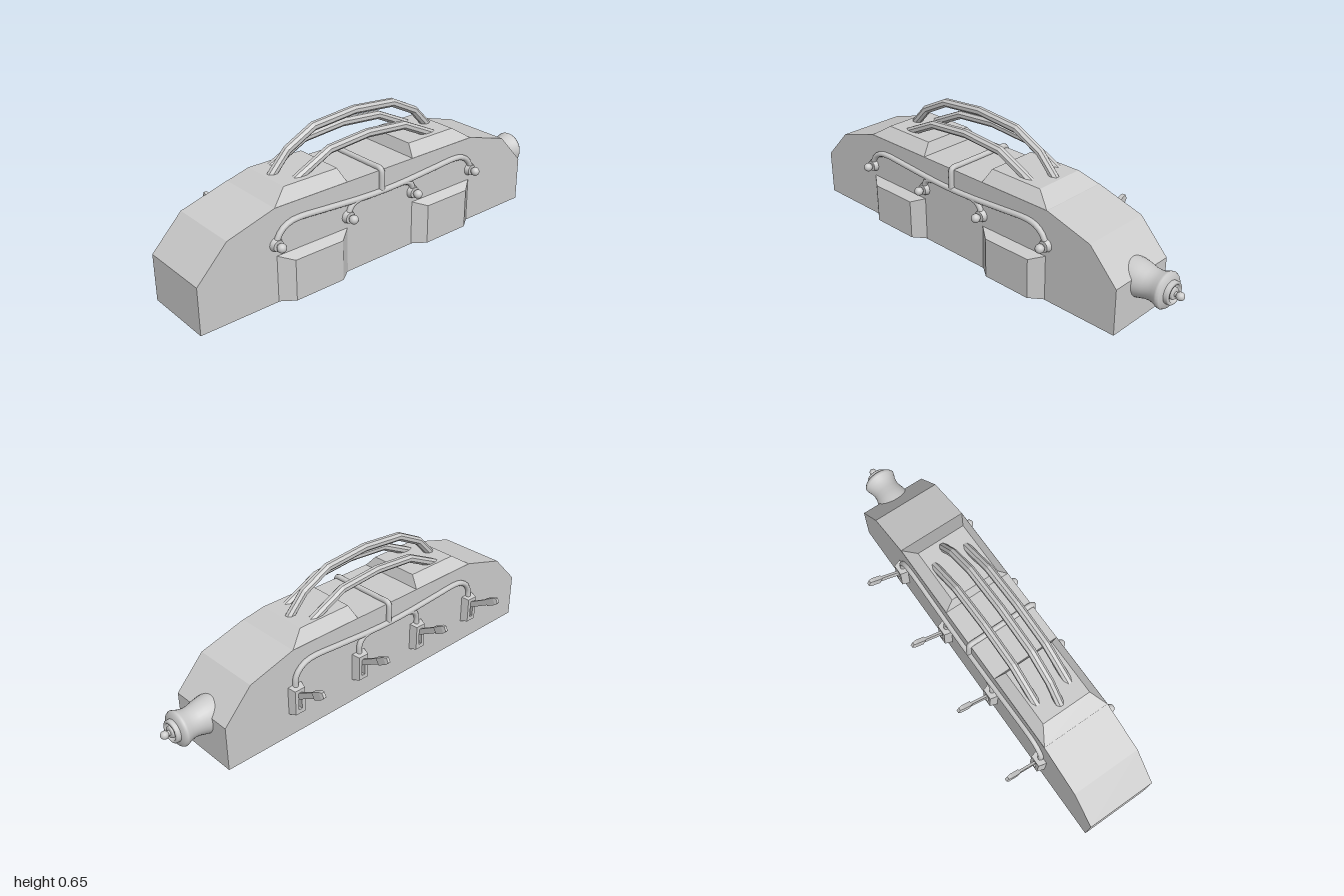
import * as THREE from 'three';

const MID = -0.096, FRONT = 0.23, BACK = -0.1;
const STATIONS = [-0.545, -0.182, 0.182, 0.545];

export function createModel() {
  const root = new THREE.Group();
  const mat = new THREE.MeshStandardMaterial({ color: 0xcccccc });
  const flat = new THREE.MeshStandardMaterial({ color: 0xcccccc, flatShading: true });
  const v = (x, y, z) => new THREE.Vector3(x, y, z);

  const add = (name, geo, m = mat, parent = root) => {
    const mesh = new THREE.Mesh(geo, m);
    mesh.name = name;
    parent.add(mesh);
    return mesh;
  };

  // Unit box whose corners are moved by a rule (sx, sy, sz are 0 or 1)
  const warpBox = (rule) => {
    const g = new THREE.BoxGeometry(1, 1, 1);
    const p = g.attributes.position;
    for (let i = 0; i < p.count; i++) {
      p.setXYZ(i, ...rule(p.getX(i) > 0 ? 1 : 0, p.getY(i) > 0 ? 1 : 0, p.getZ(i) > 0 ? 1 : 0));
    }
    g.computeVertexNormals();
    return g;
  };

  // Tube along straight segments
  const polyTube = (pts, r, sides) => {
    const path = new THREE.CurvePath();
    for (let i = 1; i < pts.length; i++) path.add(new THREE.LineCurve3(pts[i - 1], pts[i]));
    // Rings sit exactly on the corners, oriented along the averaged direction
    const pos = [], idx = [];
    pts.forEach((p, i) => {
      const a = pts[Math.max(i - 1, 0)], b = pts[Math.min(i + 1, pts.length - 1)];
      const t = b.clone().sub(a).normalize();
      const side = v(0, 0, 1), up = side.clone().cross(t);
      for (let j = 0; j < sides; j++) {
        const an = ((j + 0.5) / sides) * Math.PI * 2;
        const q = p.clone().addScaledVector(side, r * Math.cos(an)).addScaledVector(up, r * Math.sin(an));
        pos.push(q.x, q.y, q.z);
        if (i) {
          const k = i * sides + j, k2 = i * sides + ((j + 1) % sides);
          idx.push(k - sides, k, k2 - sides, k, k2, k2 - sides);
        }
      }
    });
    const g = new THREE.BufferGeometry();
    g.setAttribute('position', new THREE.Float32BufferAttribute(pos, 3));
    g.setIndex(idx);
    g.computeVertexNormals();
    return g;
  };

  const smoothTube = (name, pts, r = 0.013) =>
    add(name, new THREE.TubeGeometry(new THREE.CatmullRomCurve3(pts, false, 'centripetal'), 48, r, 10));

  // Main body: side profile extruded through the depth
  const profile = [[-1, 0], [0.805, 0], [0.805, 0.21], [0.67, 0.354], [0.45, 0.418],
    [-0.64, 0.418], [-0.86, 0.354], [-1, 0.21]];
  const body = new THREE.ExtrudeGeometry(new THREE.Shape(profile.map((p) => new THREE.Vector2(...p))),
    { depth: FRONT - BACK, bevelEnabled: false });
  body.translate(0, 0, BACK);
  add('body', body, flat);

  for (const s of [-1, 1]) {
    // Raised roof pads with sloping sides
    const outer = [0.545, 0.467], inner = [0.182, 0.2];
    add('roofPad', warpBox((x, y, z) => {
      const far = s > 0 ? x : 1 - x;
      return [MID + s * (far ? outer[y] : inner[y]), y ? 0.47 : 0.417,
        z ? [FRONT, 0.185][y] : [BACK, -0.055][y]];
    }), flat);

    // Front side bulges
    add('sideBulge', warpBox((x, y, z) => {
      const half = z ? 0.12 : 0.182;
      return [MID + s * 0.3635 + (x ? half : -half), y ? (z ? 0.187 : 0.21) : 0.002, z ? 0.273 : FRONT - 0.002];
    }), flat);
  }

  // Roof bars
  const bar = (z, pts) => add('roofBar', polyTube(
    [...pts.map(([x, y]) => v(MID - x, y, z)), ...pts.slice(0, -1).reverse().map(([x, y]) => v(MID + x, y, z))],
    0.02, 8), flat);
  bar(0.055, [[0.45, 0.44], [0.425, 0.47], [0.35, 0.55], [0.217, 0.617], [0, 0.636]]);
  for (const z of [0.142, -0.025]) bar(z, [[0.41, 0.44], [0.35, 0.47], [0.205, 0.54], [0, 0.557]]);

  // Side pipes on both faces, with branches to each fitting
  for (const [z, low] of [[FRONT + 0.006, 0.262], [BACK - 0.006, 0.235]]) {
    const half = [[0.545, low], [0.542, 0.285], [0.52, 0.318], [0.485, 0.339], [0.44, 0.346], [0.3, 0.338], [0.12, 0.326]];
    smoothTube('sidePipe', [...half.map(([x, y]) => v(MID - x, y, z)), v(MID, 0.323, z),
      ...half.slice().reverse().map(([x, y]) => v(MID + x, y, z))]);
    for (const s of [-1, 1]) {
      smoothTube('branchPipe', [[0.182, low], [0.179, 0.285], [0.16, 0.313], [0.125, 0.325], [0.09, 0.325]]
        .map(([x, y]) => v(MID + s * x, y, z)));
    }
  }

  // Pipe crossing over the roof
  smoothTube('crossPipe', [v(MID, 0.323, 0.236), v(MID, 0.4, 0.236), v(MID, 0.415, 0.234), v(MID, 0.424, 0.222),
    v(MID, 0.424, 0.18), v(MID, 0.424, -0.05), v(MID, 0.424, -0.092), v(MID, 0.415, -0.104),
    v(MID, 0.4, -0.106), v(MID, 0.323, -0.106)]);

  for (const dx of STATIONS) {
    // Front fittings: flange, neck and ball
    const fitting = new THREE.Group();
    fitting.name = 'frontFitting';
    fitting.position.set(MID + dx, 0.262, FRONT);
    root.add(fitting);
    add('flange', new THREE.CylinderGeometry(0.024, 0.03, 0.02, 20).rotateX(Math.PI / 2).translate(0, 0, 0.01), mat, fitting);
    add('neck', new THREE.CylinderGeometry(0.011, 0.011, 0.03, 12).rotateX(Math.PI / 2).translate(0, 0, 0.025), mat, fitting);
    add('ball', new THREE.SphereGeometry(0.02, 16, 12).translate(0, 0, 0.039), mat, fitting);

    // Back switches: slotted tapering box with a lever
    const sw = new THREE.Group();
    sw.name = 'leverSwitch';
    sw.position.set(MID + dx, 0.182, BACK);
    root.add(sw);
    const rect = (C, w, h) => new C([[-w, -h], [w, -h], [w, h], [-w, h]].map((p) => new THREE.Vector2(...p)));
    const frame = rect(THREE.Shape, 0.036, 0.067);
    frame.holes.push(rect(THREE.Path, 0.012, 0.045));
    const g = new THREE.ExtrudeGeometry(frame, { depth: 0.035, bevelEnabled: false }).rotateY(Math.PI);
    const p = g.attributes.position;
    for (let i = 0; i < p.count; i++) {
      if (p.getZ(i) < -0.01) p.setXY(i, p.getX(i) * 0.72, p.getY(i) * 0.89);
    }
    g.computeVertexNormals();
    add('switchBox', g, flat, sw);

    const lever = new THREE.Group();
    lever.name = 'lever';
    lever.position.set(0, 0.012, -0.005);
    lever.rotation.x = 0.5;
    sw.add(lever);
    add('leverStem', new THREE.BoxGeometry(0.011, 0.027, 0.145).translate(0, 0, -0.0725), flat, lever);
    add('leverHandle', warpBox((x, y, z) => {
      const k = z ? 1 : 0.7;
      return [(x - 0.5) * 0.02 * k, (y - 0.5) * 0.034 * k, z ? -0.19 : -0.206];
    }), flat, lever);
    add('leverGrip', new THREE.BoxGeometry(0.02, 0.034, 0.05).translate(0, 0, -0.165), flat, lever);
  }

  // End nozzle, turned around the x axis
  const nozzle = new THREE.Group();
  nozzle.name = 'endNozzle';
  nozzle.position.set(0, 0.183, 0.062);
  nozzle.rotation.z = -Math.PI / 2;
  root.add(nozzle);
  const lathe = (name, pts) => add(name,
    new THREE.LatheGeometry(pts.map((q) => new THREE.Vector2(...q)), 32), mat, nozzle);
  lathe('nozzleFlare', [[0.082, 0.74], [0.081, 0.78], [0.075, 0.815], [0.067, 0.845], [0.065, 0.87],
    [0.069, 0.893], [0.077, 0.912], [0.079, 0.922], [0.073, 0.932], [0.05, 0.937]]);
  lathe('nozzleCollar', [[0.05, 0.93], [0.05, 0.953], [0.047, 0.957], [0.037, 0.957], [0.035, 0.94], [0, 0.94]]);
  lathe('nozzleHub', [[0.026, 0.938], [0.026, 0.956], [0.022, 0.96], [0, 0.96]]);
  add('nozzlePin', new THREE.CylinderGeometry(0.011, 0.011, 0.03, 12).translate(0, 0.968, 0), mat, nozzle);
  add('nozzleBall', new THREE.SphereGeometry(0.018, 16, 12).translate(0, 0.982, 0), mat, nozzle);

  return root;
}
